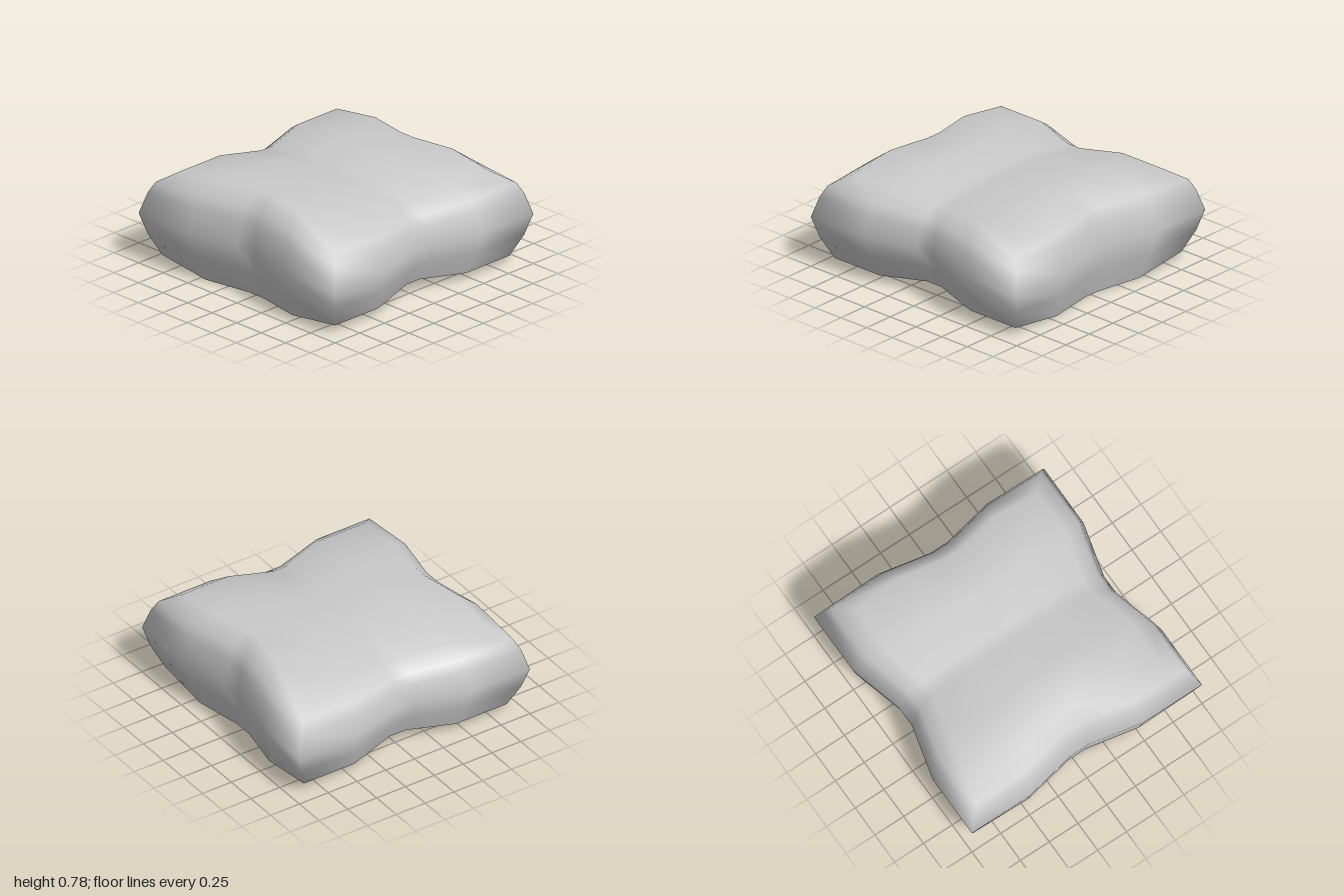
import * as THREE from 'three';
import { mergeVertices } from 'three/addons/utils/BufferGeometryUtils.js';

// Square plan grid: positions along a side, and how it pinches and arches there
const N = 6;
const along = [-1, -0.5, -0.08, 0.08, 0.5, 1];
const pinchX = [1, 1, 0.915, 0.915, 1, 1]; // waist of the left and right sides
const pinchZ = [1, 1, 0.89, 0.89, 1, 1]; // waist of the front and back, and dip across x
const arch = [1, 1.17, 1.19, 1.19, 1.17, 1]; // height swell along z
const midY = 0.39;

// Wall profile from the open rim to the top: [half width, height from the middle]
const profile = [
  [0.88, -0.328], [0.955, -0.16], [1, 0], [0.955, 0.16], [0.915, 0.243], [0.785, 0.33],
];

function point(i, j, [size, dy]) {
  return [
    size * along[i] * pinchX[j],
    midY + dy * arch[j] * pinchZ[i],
    size * along[j] * pinchZ[i],
  ];
}

// Grid cells round the edge of the plan
function perimeter() {
  const loop = [];
  for (let k = 0; k < N - 1; k++) loop.push([k, 0]);
  for (let k = 0; k < N - 1; k++) loop.push([N - 1, k]);
  for (let k = N - 1; k > 0; k--) loop.push([k, N - 1]);
  for (let k = N - 1; k > 0; k--) loop.push([0, k]);
  return loop;
}

function shellGeometry() {
  const positions = [];
  const quad = (a, b, c, d) => positions.push(...a, ...b, ...c, ...a, ...c, ...d);

  // Bulging side walls
  const loop = perimeter();
  for (let r = 0; r < profile.length - 1; r++) {
    loop.forEach(([i, j], k) => {
      const [ni, nj] = loop[(k + 1) % loop.length];
      quad(
        point(i, j, profile[r]), point(i, j, profile[r + 1]),
        point(ni, nj, profile[r + 1]), point(ni, nj, profile[r]),
      );
    });
  }

  // Top panel
  const top = profile[profile.length - 1];
  for (let i = 0; i < N - 1; i++) {
    for (let j = 0; j < N - 1; j++) {
      quad(
        point(i, j, top), point(i, j + 1, top),
        point(i + 1, j + 1, top), point(i + 1, j, top),
      );
    }
  }

  const geometry = new THREE.BufferGeometry();
  geometry.setAttribute('position', new THREE.Float32BufferAttribute(positions, 3));
  const merged = mergeVertices(geometry, 1e-4);
  merged.computeVertexNormals();
  return merged;
}

export function createModel() {
  const group = new THREE.Group();
  group.name = 'cushion';
  // Hollow shell, open underneath
  const shell = new THREE.Mesh(
    shellGeometry(),
    new THREE.MeshStandardMaterial({ color: 0xcccccc, side: THREE.DoubleSide }),
  );
  shell.name = 'cushionShell';
  group.add(shell);
  return group;
}
